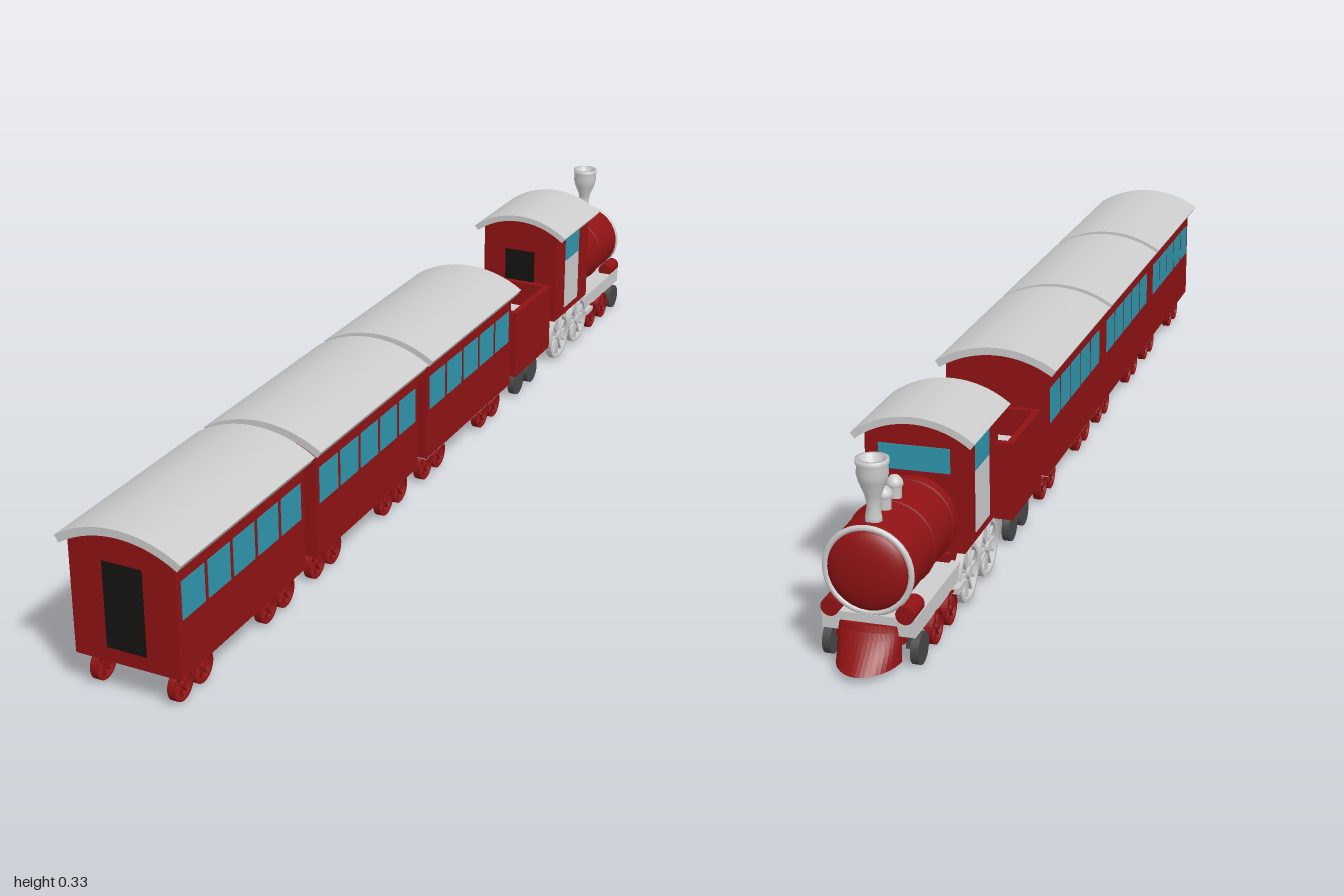
import * as THREE from 'three';

const mat = (color) => new THREE.MeshStandardMaterial({ color });
const RED = mat(0x8f1214), GREY = mat(0xcccccc), BLUE = mat(0x2f95ad), BLACK = mat(0x161212), DARK = mat(0x484848);

function add(parent, name, geo, material, x = 0, y = 0, z = 0) {
  const m = new THREE.Mesh(geo, material);
  m.name = name;
  m.position.set(x, y, z);
  parent.add(m);
  return m;
}
const box = (p, name, material, w, h, d, x, y, z) => add(p, name, new THREE.BoxGeometry(w, h, d), material, x, y, z);

// Extrusion along z, centred on its length
function slab(shape, length, curveSegments = 24) {
  const g = new THREE.ExtrudeGeometry(shape, { depth: length, bevelEnabled: false, curveSegments });
  return g.translate(0, 0, -length / 2);
}

// Curved roof sheet: outer radius R, top at y = apex, half opening angle a
function roof(apex, R, t, a, length) {
  const s = new THREE.Shape(), cy = apex - R, mid = Math.PI / 2;
  s.absarc(0, cy, R, mid - a, mid + a, false);
  s.absarc(0, cy, R - t, mid + a, mid - a, true);
  return slab(s, length);
}

// Box body whose top follows the underside of the roof
function body(w, y0, apex, r, length) {
  const s = new THREE.Shape(), a = Math.asin(w / r), mid = Math.PI / 2;
  s.moveTo(-w, y0);
  s.lineTo(w, y0);
  s.absarc(0, apex - r, r, mid - a, mid + a, false);
  return slab(s, length);
}

// Spoked wheel facing x
function spokedWheel(parent, name, r, spokes, material, x, y, z) {
  const g = new THREE.Group();
  g.name = name;
  const ring = new THREE.Shape().absarc(0, 0, r, 0, Math.PI * 2);
  ring.holes.push(new THREE.Path().absarc(0, 0, r * 0.86, 0, Math.PI * 2, true));
  add(g, 'rim', slab(ring, 0.013, 16), material);
  add(g, 'hub', new THREE.CylinderGeometry(r * 0.2, r * 0.2, 0.015, 12).rotateX(Math.PI / 2), material);
  for (let i = 0; i < spokes; i++) {
    const spoke = new THREE.BoxGeometry(r * 0.1, r * 0.76, 0.006).translate(0, r * 0.5, 0);
    add(g, 'spoke', spoke, material).rotation.z = (i / spokes) * Math.PI * 2;
  }
  g.rotation.y = Math.PI / 2;
  g.position.set(x, y, z);
  parent.add(g);
}

function solidWheel(parent, r, x, y, z) {
  add(parent, 'solidWheel', new THREE.CylinderGeometry(r, r, 0.013, 24).rotateZ(Math.PI / 2), DARK, x, y, z);
}

// Pair of coupling bars with end collars
function coupling(parent, z, length) {
  for (const x of [-0.03, 0.03]) {
    add(parent, 'couplingBar', new THREE.CylinderGeometry(0.004, 0.004, length, 10).rotateX(Math.PI / 2), DARK, x, 0.078, z);
    for (const s of [-1, 1])
      add(parent, 'couplingCollar', new THREE.CylinderGeometry(0.007, 0.007, 0.008, 12).rotateX(Math.PI / 2), DARK, x, 0.078, z + s * length * 0.25);
  }
}

function carriage(z, floorMaterial) {
  const g = new THREE.Group();
  g.name = 'carriage';
  add(g, 'carriageBody', body(0.096, 0.062, 0.287, 0.191, 0.39), RED);
  add(g, 'carriageRoof', roof(0.301, 0.205, 0.014, 0.584, 0.41), GREY);
  box(g, 'floor', floorMaterial, 0.19, 0.002, 0.388, 0, 0.061, 0);
  box(g, 'endDoor', BLACK, 0.072, 0.151, 0.003, 0, 0.1615, 0.1945);
  for (const s of [-1, 1]) {
    for (let i = -2; i <= 2; i++) box(g, 'window', BLUE, 0.003, 0.066, 0.065, s * 0.0957, 0.193, i * 0.075);
    for (const wz of [-0.16, -0.102, 0.102, 0.16]) {
      spokedWheel(g, 'carriageWheel', 0.028, 10, RED, s * 0.071, 0.03, wz);
      box(g, 'wheelBracket', RED, 0.006, 0.034, 0.014, s * 0.062, 0.045, wz);
    }
  }
  g.position.z = z;
  return g;
}

function tender() {
  const g = new THREE.Group();
  g.name = 'tender';
  box(g, 'tenderFloor', RED, 0.186, 0.06, 0.18, 0, 0.093, 0);
  for (const s of [-1, 1]) {
    box(g, 'tenderSide', RED, 0.012, 0.14, 0.18, s * 0.087, 0.133, 0);
    box(g, 'tenderEnd', RED, 0.164, 0.14, 0.012, 0, 0.133, s * 0.084);
    for (const wz of [-0.036, 0.036]) {
      solidWheel(g, 0.027, s * 0.071, 0.029, wz);
      box(g, 'wheelBracket', DARK, 0.006, 0.036, 0.014, s * 0.062, 0.046, wz);
    }
  }
  box(g, 'load', GREY, 0.162, 0.03, 0.156, 0, 0.137, 0);
  g.position.z = -0.385;
  return g;
}

// Plough: half oval in plan, sweeping forward towards the rail
function plough() {
  const s = new THREE.Shape();
  s.moveTo(0.051, 0);
  s.bezierCurveTo(0.05, 0.04, 0.022, 0.07, 0, 0.07);
  s.bezierCurveTo(-0.022, 0.07, -0.05, 0.04, -0.051, 0);
  const g = new THREE.ExtrudeGeometry(s, { depth: 0.06, steps: 6, bevelEnabled: false, curveSegments: 10 });
  g.rotateX(-Math.PI / 2);
  const p = g.attributes.position;
  for (let i = 0; i < p.count; i++) {
    const k = 1 - p.getY(i) / 0.06;
    p.setZ(i, p.getZ(i) * (0.2 + 0.8 * Math.pow(k, 1.4)));
  }
  g.computeVertexNormals();
  return g;
}

function locomotive() {
  const g = new THREE.Group();
  g.name = 'locomotive';
  const lathe = (pts) => new THREE.LatheGeometry(pts.map(([r, y]) => new THREE.Vector2(r, y)), 28);

  // Cab
  add(g, 'cab', body(0.083, 0.1, 0.318, 0.156, 0.184), RED, 0, 0, -0.62);
  add(g, 'cabRoof', roof(0.328, 0.168, 0.012, 0.667, 0.2), GREY, 0, 0, -0.622);
  box(g, 'cabRearDoor', BLACK, 0.066, 0.13, 0.003, 0, 0.185, -0.5275);
  box(g, 'cabFrontWindow', BLUE, 0.12, 0.042, 0.003, 0, 0.256, -0.7125);
  for (const s of [-1, 1]) {
    box(g, 'cabSideWindow', BLUE, 0.003, 0.052, 0.075, s * 0.083, 0.248, -0.618);
    box(g, 'cabSideDoor', GREY, 0.003, 0.106, 0.075, s * 0.083, 0.168, -0.618);
  }

  // Chassis and running board
  box(g, 'chassis', RED, 0.118, 0.058, 0.2, 0, 0.071, -0.622);
  box(g, 'frontChassis', RED, 0.11, 0.025, 0.21, 0, 0.053, -0.825);
  box(g, 'runningBoard', GREY, 0.15, 0.03, 0.225, 0, 0.071, -0.823);

  // Boiler with front ring and domed nose
  const boiler = add(g, 'boiler', new THREE.CylinderGeometry(0.071, 0.071, 0.22, 32), RED, 0, 0.156, -0.82);
  boiler.rotation.x = -Math.PI / 2;
  const nose = add(g, 'boilerNose', new THREE.SphereGeometry(0.066, 28, 10, 0, Math.PI * 2, 0, Math.PI / 2).scale(1, 0.32, 1), RED, 0, 0.156, -0.928);
  nose.rotation.x = -Math.PI / 2;
  add(g, 'boilerRing', new THREE.TorusGeometry(0.069, 0.005, 8, 36), GREY, 0, 0.156, -0.93);
  for (const z of [-0.735, -0.825])
    add(g, 'boilerBand', new THREE.TorusGeometry(0.071, 0.0025, 6, 32), RED, 0, 0.156, z);

  // Chimney and domes
  add(g, 'chimney', lathe([[0, 0.215], [0.014, 0.215], [0.013, 0.232], [0.01, 0.25], [0.013, 0.268], [0.022, 0.29], [0.025, 0.303],
    [0.024, 0.316], [0.026, 0.318], [0.026, 0.326], [0.019, 0.326], [0.017, 0.31], [0, 0.308]]), GREY, 0, 0, -0.9);
  for (const z of [-0.853, -0.805])
    add(g, 'dome', lathe([[0.011, 0.215], [0.011, 0.244], [0.0135, 0.246], [0.0135, 0.251], [0.011, 0.257], [0.006, 0.262], [0, 0.263]]), GREY, 0, 0, z);

  // Wheels, steps and steam cylinders
  for (const s of [-1, 1]) {
    for (const z of [-0.57, -0.677]) spokedWheel(g, 'drivingWheel', 0.05, 12, GREY, s * 0.073, 0.052, z);
    for (const z of [-0.767, -0.837]) {
      spokedWheel(g, 'leadingWheel', 0.028, 10, RED, s * 0.071, 0.03, z);
      box(g, 'wheelBracket', RED, 0.012, 0.036, 0.014, s * 0.058, 0.044, z);
    }
    solidWheel(g, 0.026, s * 0.071, 0.027, -0.907);
    box(g, 'wheelBracket', DARK, 0.012, 0.036, 0.014, s * 0.058, 0.044, -0.907);
    box(g, 'step', GREY, 0.016, 0.01, 0.04, s * 0.077, 0.053, -0.735);
    const cyl = add(g, 'steamCylinder', new THREE.CylinderGeometry(0.015, 0.015, 0.05, 18), RED, s * 0.06, 0.093, -0.915);
    cyl.rotation.x = Math.PI / 2;
  }
  add(g, 'plough', plough(), RED, 0, 0.012, -0.93);
  return g;
}

export function createModel() {
  const train = new THREE.Group();
  train.name = 'train';
  train.add(locomotive(), tender());
  train.add(carriage(0.795, RED), carriage(0.365, RED), carriage(-0.063, GREY));
  coupling(train, 0.58, 0.06);
  coupling(train, 0.15, 0.06);
  coupling(train, -0.28, 0.06);
  coupling(train, -0.5, 0.07);
  return train;
}
